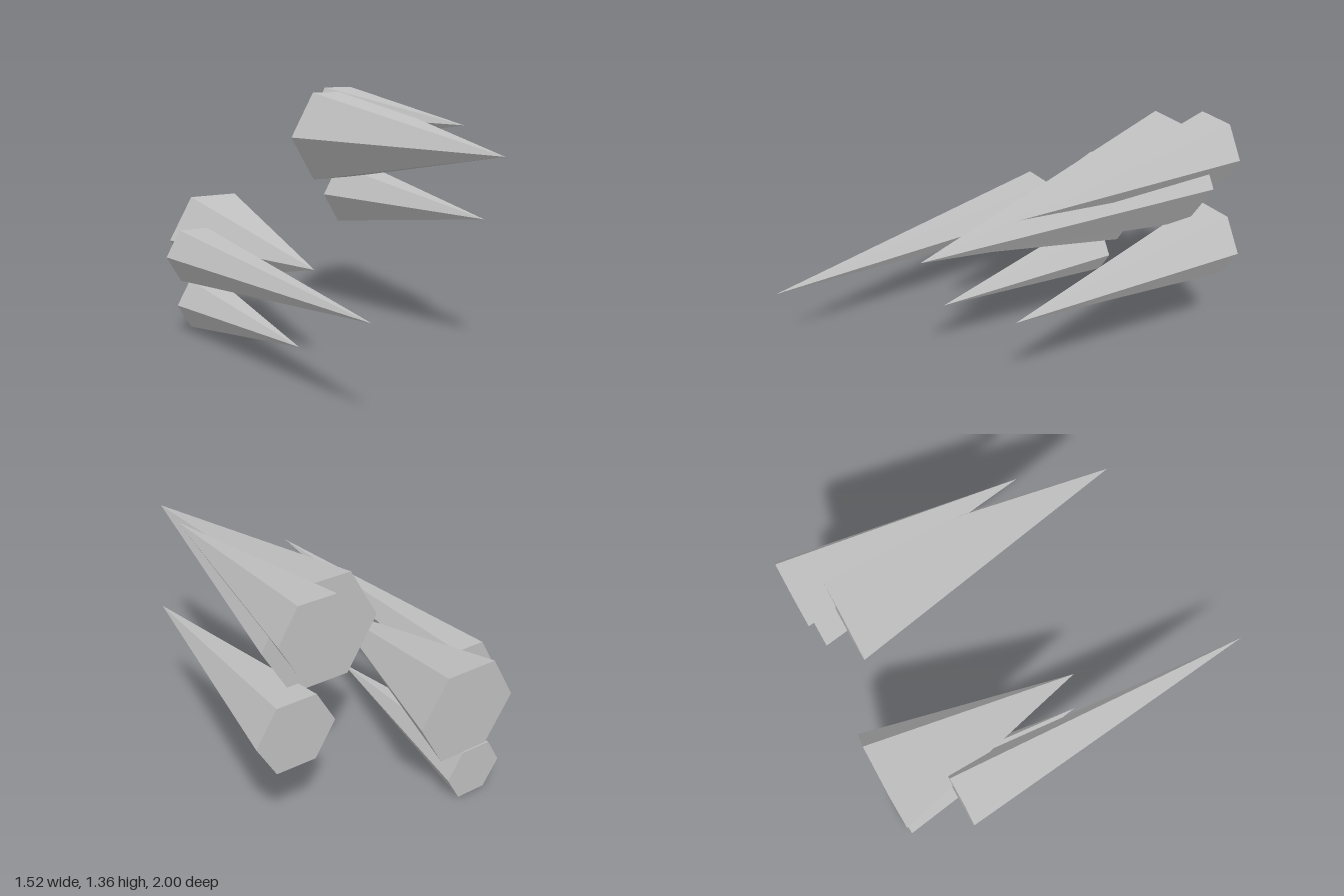
import * as THREE from 'three';

export function createModel() {
  const model = new THREE.Group();
  const grey = new THREE.MeshStandardMaterial({ color: 0xc0c0c0, flatShading: true });
  grey.name = 'grey';

  // Six-sided spike with its tip towards +z and corners at left and right
  function addSpike(name, x, y, radius, back, tip) {
    const geometry = new THREE.ConeGeometry(radius, tip - back, 6);
    geometry.rotateY(Math.PI / 2).rotateX(Math.PI / 2);
    const spike = new THREE.Mesh(geometry, grey);
    spike.name = name;
    spike.position.set(x, y, (back + tip) / 2);
    model.add(spike);
  }

  // Upper left cluster
  addSpike('leftLargeSpike', 0.36, 1.085, 0.292, -0.8, 0.7);
  addSpike('leftUpperSpike', 0.481, 1.201, 0.184, -0.95, 0.25);
  addSpike('leftLowerSpike', 0.56, 0.718, 0.197, -0.925, 0.33);

  // Lower right cluster
  addSpike('rightLargeSpike', -0.34, 0.522, 0.273, -1, 0.12);
  addSpike('rightLongSpike', -0.602, 0.492, 0.159, -0.705, 1);
  addSpike('rightLowerSpike', -0.42, 0.14, 0.159, -1, 0.1);

  return model;
}
